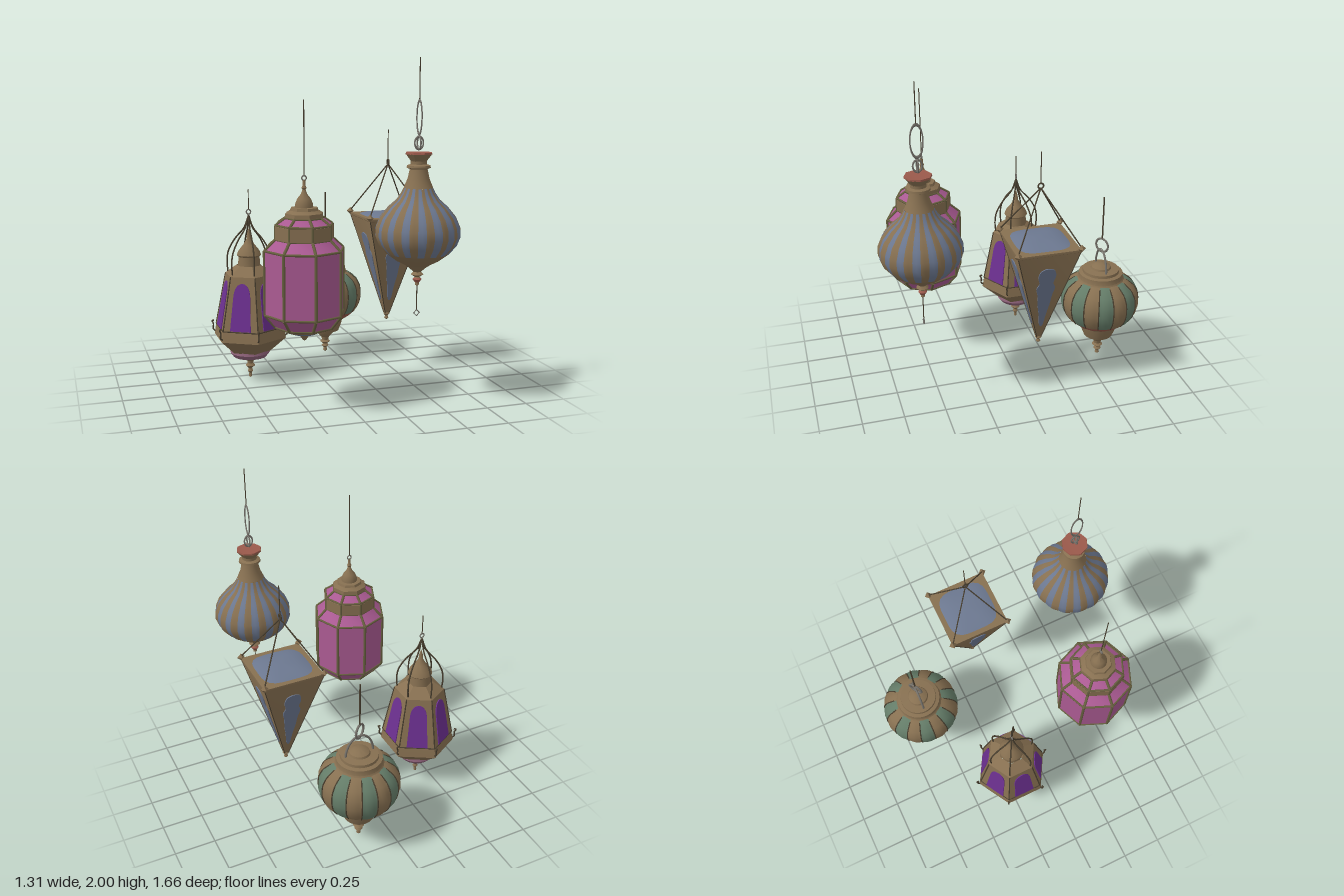
import * as THREE from 'three';
import { toCreasedNormals } from 'three/addons/utils/BufferGeometryUtils.js';

const mat = (name, color, side = THREE.FrontSide) => {
  const m = new THREE.MeshStandardMaterial({ color, side });
  m.name = name;
  return m;
};
const brass = mat('brass', 0x877051, THREE.DoubleSide);
const darkMetal = mat('dark metal', 0x4a4030);
const olive = mat('olive frame', 0x686040);
const pink = mat('pink glass', 0xaa5a92);
const purple = mat('purple glass', 0x6c3090);
const blue = mat('blue glass', 0x6c7890);
const green = mat('green glass', 0x647c68);
const red = mat('red clay', 0x9a594b);
const steel = mat('steel', 0x77736c);
const rose = mat('dusty rose', 0x8e6279);

const TAU = Math.PI * 2;
const V = (x, y, z) => new THREE.Vector3(x, y, z);
const polar = (r, y, a) => V(r * Math.sin(a), y, r * Math.cos(a));

function add(parent, name, geo, material) {
  const m = new THREE.Mesh(geo, material);
  m.name = name;
  parent.add(m);
  return m;
}

// Turned part, profile [radius, y] from bottom to top; shape(angle) scales the radius,
// and a pair of materials alternates every `per` segments.
function turned(parent, name, profile, material, segs = 20, { start = 0, shape, per = 1 } = {}) {
  const geo = new THREE.LatheGeometry(profile.map(([r, y]) => new THREE.Vector2(r, y)), segs, start);
  const p = geo.attributes.position;
  if (shape) {
    for (let i = 0; i < p.count; i++) {
      const k = shape(Math.atan2(p.getX(i), p.getZ(i)));
      p.setXYZ(i, p.getX(i) * k, p.getY(i), p.getZ(i) * k);
    }
  }
  if (Array.isArray(material)) {
    const n = (profile.length - 1) * 6;
    for (let i = 0; i < segs; i++) geo.addGroup(i * n, n, Math.floor(i / per) % 2);
  }
  return add(parent, name, toCreasedNormals(geo, 0.6), material);
}

// Straight rod between two points
function bar(parent, name, a, b, r, material = darkMetal, sides = 6) {
  const m = add(parent, name, new THREE.CylinderGeometry(r, r, a.distanceTo(b), sides), material);
  m.position.copy(a).lerp(b, 0.5);
  m.quaternion.setFromUnitVectors(V(0, 1, 0), b.clone().sub(a).normalize());
}

function wire(parent, name, points, r, material = darkMetal) {
  add(parent, name, new THREE.TubeGeometry(new THREE.CatmullRomCurve3(points), 20, r, 6), material);
}

function ring(parent, name, y, r, tube, turn = 0, stretch = 1, material = steel) {
  const m = add(parent, name, new THREE.TorusGeometry(r, tube, 6, 20), material);
  m.position.y = y;
  m.rotation.y = turn;
  m.scale.y = stretch;
}

// Thin glass plate on a sloping side face
function plate(parent, name, shape, material, angle, tilt, y, dist) {
  const pivot = new THREE.Group();
  pivot.rotation.y = angle;
  const m = add(pivot, name, new THREE.ExtrudeGeometry(shape, { depth: 0.006, bevelEnabled: false, curveSegments: 8 }), material);
  m.position.set(0, y, dist);
  m.rotation.x = tilt;
  parent.add(pivot);
}

function lantern(root, name, x, z) {
  const g = new THREE.Group();
  g.name = name;
  g.position.set(x, 0, z);
  root.add(g);
  return g;
}

function hexLantern(root) {
  const g = lantern(root, 'hexagonalLantern', -0.43, -0.21);
  turned(g, 'body', [[0.135, 0.19], [0.235, 0.28], [0.224, 0.347], [0.156, 0.68], [0.08, 0.735]], brass, 6);
  turned(g, 'cap', [[0.07, 0.725], [0.066, 0.79], [0.076, 0.8], [0.066, 0.825], [0.035, 0.865], [0.014, 0.9], [0.012, 0.93], [0, 0.97]], brass);
  turned(g, 'bowl', [[0.055, 0.14], [0.105, 0.148], [0.125, 0.175], [0.12, 0.195]], rose);
  turned(g, 'finial', [[0, 0.005], [0.01, 0.012], [0.008, 0.035], [0.017, 0.048], [0.01, 0.065], [0.03, 0.085], [0.018, 0.1], [0.02, 0.115], [0.065, 0.142]], brass, 16);
  const arch = new THREE.Shape();
  arch.moveTo(-0.066, 0);
  arch.lineTo(0.066, 0);
  arch.lineTo(0.053, 0.22);
  arch.quadraticCurveTo(0.045, 0.29, 0, 0.295);
  arch.quadraticCurveTo(-0.045, 0.29, -0.053, 0.22);
  const tilt = -Math.atan(0.059 / 0.333);
  for (let i = 0; i < 6; i++) {
    const a = i * TAU / 6;
    plate(g, 'window', arch, purple, a + TAU / 12, tilt, 0.352, 0.193);
    wire(g, 'hangingWire', [[0, 1.05], [0.03, 0.97], [0.09, 0.9], [0.135, 0.82], [0.145, 0.75], [0.14, 0.69]].map(([r, y]) => polar(r, y, a)), 0.005);
    wire(g, 'hook', [[0.222, 0.29], [0.245, 0.31], [0.243, 0.34], [0.252, 0.362], [0.238, 0.365]].map(([r, y]) => polar(r, y, a)), 0.005);
    bar(g, 'edge', polar(0.224, 0.347, a), polar(0.156, 0.68, a), 0.004);
    bar(g, 'sill', polar(0.224, 0.347, a), polar(0.224, 0.347, a + TAU / 6), 0.004);
  }
  ring(g, 'ring', 1.07, 0.014, 0.004);
  bar(g, 'cable', V(0, 1.08, 0), V(0, 1.21, 0), 0.003);
}

function octagonLantern(root) {
  const g = lantern(root, 'octagonalLantern', -0.26, 0.447);
  const glass = [[0.17, 0.5], [0.23, 0.575], [0.23, 0.94], [0.165, 1.0], [0.165, 1.08], [0.108, 1.118]];
  turned(g, 'glassBody', glass, pink, 8);
  turned(g, 'collar', [[0.172, 1.0], [0.172, 1.075], [0.16, 1.083]], brass, 8);
  turned(g, 'topTier', [[0.113, 1.112], [0.11, 1.145], [0.083, 1.16], [0.078, 1.175], [0, 1.18]], brass, 8);
  turned(g, 'spire', [[0.05, 1.17], [0.05, 1.195], [0.038, 1.225], [0.018, 1.25], [0.009, 1.275], [0.014, 1.285], [0.008, 1.3], [0.008, 1.33]], brass);
  turned(g, 'baseRim', [[0.125, 0.475], [0.165, 0.49], [0.174, 0.503]], brass, 8);
  turned(g, 'baseDome', [[0.03, 0.448], [0.08, 0.458], [0.13, 0.478]], blue, 24);
  turned(g, 'baseTip', [[0, 0.41], [0.012, 0.418], [0.022, 0.435], [0.045, 0.452]], brass, 16);
  for (let i = 0; i < 8; i++) {
    const a = i * TAU / 8;
    glass.forEach(([r, y], j) => {
      bar(g, 'ringBar', polar(r, y, a), polar(r, y, a + TAU / 8), 0.007, olive);
      if (j) bar(g, 'edgeBar', polar(...glass[j - 1], a), polar(r, y, a), 0.009, olive);
    });
  }
  ring(g, 'ring', 1.34, 0.013, 0.004);
  bar(g, 'cable', V(0, 1.35, 0), V(0, 1.77, 0), 0.003);
}

function onionLantern(root) {
  const g = lantern(root, 'onionLantern', 0.367, 0.587);
  const shape = a => 1 - 0.02 + 0.025 * Math.abs(Math.sin(8 * a));
  turned(g, 'underside', [[0.07, 0.84], [0.12, 0.865], [0.18, 0.91]], brass, 64, { shape });
  turned(g, 'stripedBody', [[0.18, 0.91], [0.222, 0.96], [0.241, 1.01], [0.238, 1.06], [0.215, 1.115], [0.17, 1.17], [0.125, 1.21], [0.097, 1.25], [0.083, 1.28]], [blue, brass], 64, { shape, per: 2 });
  turned(g, 'neck', [[0.083, 1.28], [0.062, 1.33], [0.05, 1.385], [0.068, 1.393], [0.066, 1.405], [0.046, 1.412], [0.046, 1.43]], brass, 24);
  turned(g, 'flare', [[0.046, 1.428], [0.055, 1.44], [0.08, 1.472]], brass, 8);
  turned(g, 'crown', [[0.08, 1.468], [0.078, 1.478], [0, 1.474]], red, 8);
  turned(g, 'finial', [[0, 0.715], [0.012, 0.725], [0.01, 0.745], [0.024, 0.755], [0.014, 0.77], [0.036, 0.785], [0.022, 0.8], [0.05, 0.825], [0.075, 0.842]], brass, 16);
  turned(g, 'finialBead', [[0.015, 0.74], [0.026, 0.757], [0.015, 0.768]], red, 12);
  bar(g, 'lowerCord', V(0, 0.58, 0), V(0, 0.73, 0), 0.003);
  const charm = add(g, 'charm', new THREE.TorusGeometry(0.018, 0.004, 5, 4), steel);
  charm.position.y = 0.56;
  ring(g, 'smallRing', 1.53, 0.026, 0.005, 0, 1.35);
  ring(g, 'smallRing', 1.53, 0.026, 0.005, Math.PI / 2, 1.35);
  ring(g, 'longLink', 1.672, 0.036, 0.004, Math.PI / 2, 2.6);
  bar(g, 'cable', V(0, 1.765, 0), V(0, 2, 0), 0.003);
}

function pyramidLantern(root) {
  const g = lantern(root, 'pyramidLantern', 0.447, -0.09);
  const s = Math.SQRT2, start = Math.PI / 4;
  turned(g, 'body', [[0.012 * s, 0.385], [0.183 * s, 1.015], [0.187 * s, 1.018], [0.187 * s, 1.032], [0, 1.033]], brass, 4, { start });
  const shape = a => (Math.sin(a) ** 4 + Math.cos(a) ** 4) ** -0.25;
  turned(g, 'topGlass', [[0.163, 1.03], [0.13, 1.041], [0.08, 1.048], [0, 1.051]], blue, 32, { shape });
  turned(g, 'tip', [[0, 0.345], [0.014, 0.358], [0.008, 0.372], [0.02, 0.385], [0.012, 0.41]], brass, 12);
  // wavy slot on each side
  const half = [[0.012, 0.12], [0.022, 0.2], [0.036, 0.28], [0.043, 0.35], [0.055, 0.41], [0.042, 0.45], [0.052, 0.5], [0.04, 0.545]];
  const slot = new THREE.Shape();
  slot.moveTo(0, 0.1);
  slot.splineThru([...half, [0, 0.56], ...half.map(([x, y]) => [-x, y]).reverse(), [0, 0.1]].map(([x, y]) => new THREE.Vector2(x, y)));
  const tilt = Math.atan(0.171 / 0.63);
  for (let i = 0; i < 4; i++) {
    const a = i * TAU / 4 + start;
    plate(g, 'slotGlass', slot, blue, i * TAU / 4, tilt, 0.385, 0.011);
    const gem = add(g, 'cornerStud', new THREE.OctahedronGeometry(0.024), brass);
    gem.position.copy(polar(0.186 * s, 1.04, a));
    bar(g, 'rope', polar(0.186 * s, 1.045, a), V(0, 1.355, 0), 0.004);
    bar(g, 'edge', polar(0.013 * s, 0.39, a), polar(0.183 * s, 1.015, a), 0.003);
  }
  ring(g, 'ring', 1.367, 0.016, 0.005, Math.PI / 2, 1, darkMetal);
  bar(g, 'cable', V(0, 1.38, 0), V(0, 1.57, 0), 0.003);
}

function melonLantern(root) {
  const g = lantern(root, 'melonLantern', 0.186, -0.585);
  const shape = a => 0.98 + 0.025 * Math.abs(Math.sin(8 * a));
  const opts = { shape, per: 4 };
  turned(g, 'panels', [[0.204, 0.315], [0.232, 0.36], [0.246, 0.42], [0.24, 0.485], [0.215, 0.535], [0.165, 0.575], [0.13, 0.588]], [brass, green], 64, opts);
  turned(g, 'lowerBand', [[0.165, 0.28], [0.204, 0.315]], [red, red], 64, opts);
  turned(g, 'underside', [[0.12, 0.25], [0.165, 0.28]], brass, 64, opts);
  for (let i = 0; i < 16; i++) {
    const a = i * TAU / 16;
    wire(g, 'rib', [[0.198, 0.31], [0.228, 0.36], [0.241, 0.42], [0.236, 0.485], [0.21, 0.535], [0.16, 0.575]].map(([r, y]) => polar(r, y, a)), 0.004);
  }
  turned(g, 'lid', [[0.15, 0.578], [0.14, 0.59], [0.137, 0.622], [0.115, 0.628], [0.113, 0.645], [0.065, 0.65], [0.06, 0.662], [0.035, 0.676], [0, 0.68]], brass, 28);
  turned(g, 'cup', [[0.05, 0.165], [0.092, 0.17], [0.108, 0.21], [0.12, 0.255]], brass, 28);
  turned(g, 'finial', [[0, 0.015], [0.014, 0.025], [0.01, 0.045], [0.024, 0.058], [0.014, 0.072], [0.034, 0.088], [0.022, 0.1], [0.026, 0.12], [0.052, 0.145], [0.06, 0.17]], brass, 16);
  for (const side of [-1, 1])
    wire(g, 'handleArm', [[0.09, 0.635], [0.085, 0.68], [0.062, 0.735], [0.03, 0.765], [0, 0.772]].map(([x, y]) => V(side * x, y, 0)), 0.007, steel);
  ring(g, 'ring', 0.805, 0.044, 0.007, 0.6);
  bar(g, 'cable', V(0, 0.845, 0), V(0, 1.13, 0), 0.005);
}

export function createModel() {
  const root = new THREE.Group();
  root.name = 'hangingLanterns';
  hexLantern(root);
  octagonLantern(root);
  onionLantern(root);
  pyramidLantern(root);
  melonLantern(root);
  return root;
}
